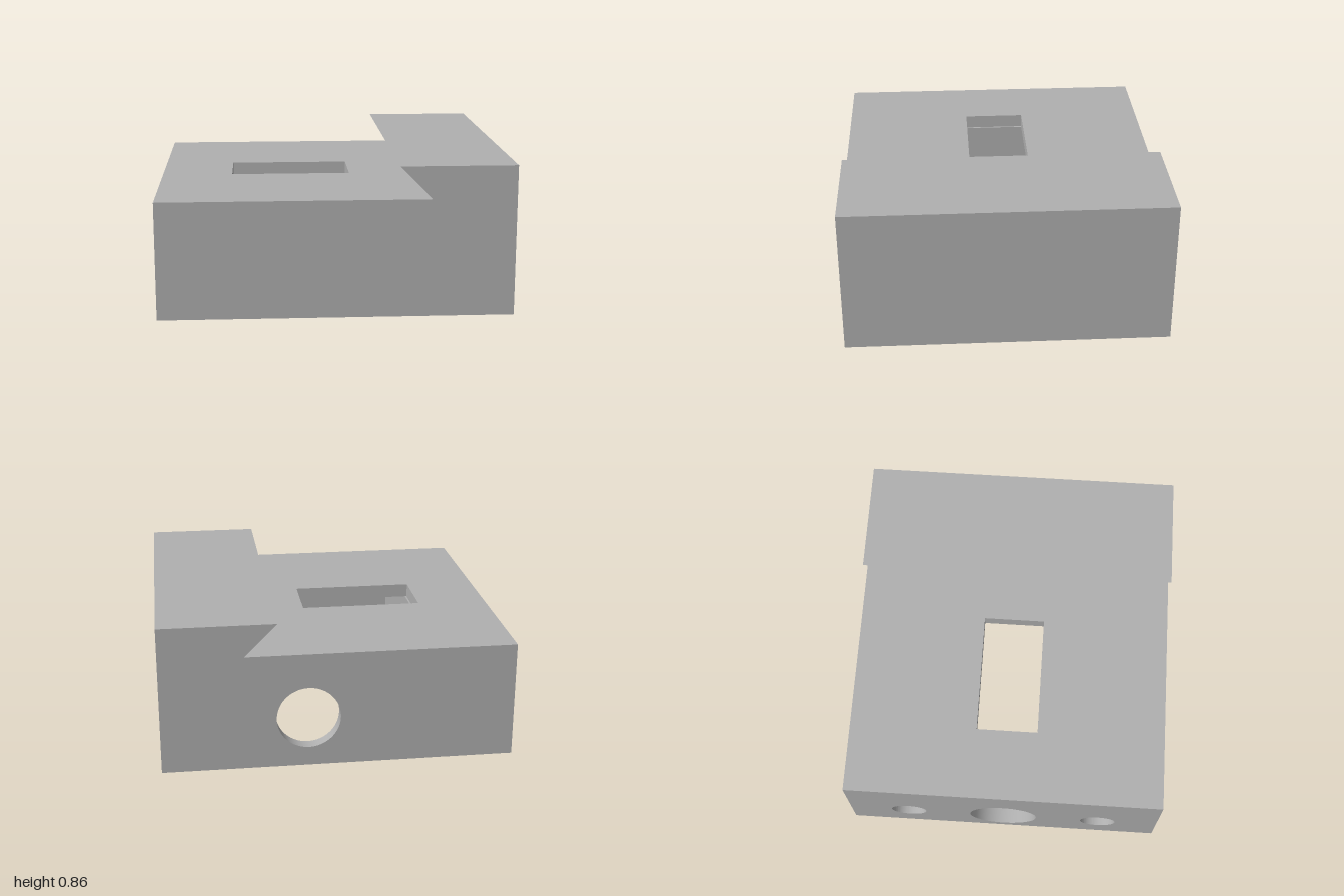
import * as THREE from 'three';
import { toCreasedNormals } from 'three/addons/utils/BufferGeometryUtils.js';

export function createModel() {
  const group = new THREE.Group();
  const grey = new THREE.MeshStandardMaterial({ color: 0xb0b0b0 });
  grey.name = 'plain grey';

  // Outer body, and the cavity that opens downwards
  const X = 1, Z = 0.93, TOP = 0.67, CEIL = 0.59;
  const IN_L = 0.92, IN_R = -0.575, IN_Z = 0.855;

  const add = (name, geometry) => {
    const mesh = new THREE.Mesh(geometry, grey);
    mesh.name = name;
    group.add(mesh);
    return mesh;
  };
  const box = (name, x0, x1, y0, y1, z0, z1) =>
    add(name, new THREE.BoxGeometry(x1 - x0, y1 - y0, z1 - z0)
      .translate((x0 + x1) / 2, (y0 + y1) / 2, (z0 + z1) / 2));
  const polygon = (points) => new THREE.Shape(points.map(([x, y]) => new THREE.Vector2(x, y)));
  const rect = (x0, x1, y0, y1) => polygon([[x0, y0], [x1, y0], [x1, y1], [x0, y1]]);
  const circle = (x, y, r) => new THREE.Path().absarc(x, y, r, 0, Math.PI * 2, true);
  const extrude = (shape, depth) => toCreasedNormals(
    new THREE.ExtrudeGeometry(shape, { depth, bevelEnabled: false, curveSegments: 40 }), 0.6);

  // Top plate with a rectangular slot
  const plate = rect(-X, X, -Z, Z);
  plate.holes.push(rect(-0.585, 0.12, -0.18, 0.18));
  add('topPlate', extrude(plate, TOP - CEIL).rotateX(-Math.PI / 2).translate(0, CEIL, 0));

  // Undercut rail along the left edge
  const rail = polygon([[0.53, TOP], [X, TOP], [X, 0.855], [0.345, 0.855]]);
  add('dovetailRail', extrude(rail, 2 * Z).translate(0, 0, -Z));

  // Plain walls
  box('frontWall', -X, X, 0, CEIL, IN_Z, Z);
  box('leftWall', IN_L, X, 0, CEIL, -IN_Z, IN_Z);

  // Back wall with a round opening into the cavity
  const back = rect(-X, X, 0, CEIL);
  back.holes.push(circle(0.175, 0.29, 0.18));
  add('backWall', extrude(back, Z - IN_Z).translate(0, 0, -Z));

  // Thick right block with three blind bores
  const depth = 0.35;
  const block = rect(-IN_Z, IN_Z, 0, CEIL);
  for (const [z, r] of [[-0.575, 0.105], [0, 0.2], [0.575, 0.105]]) {
    block.holes.push(circle(z, 0.25, r));
  }
  add('rightBlock', extrude(block, depth).rotateY(-Math.PI / 2).translate(depth - X, 0, 0));
  box('boreFloor', depth - X, IN_R, 0, CEIL, -IN_Z, IN_Z);

  return group;
}
